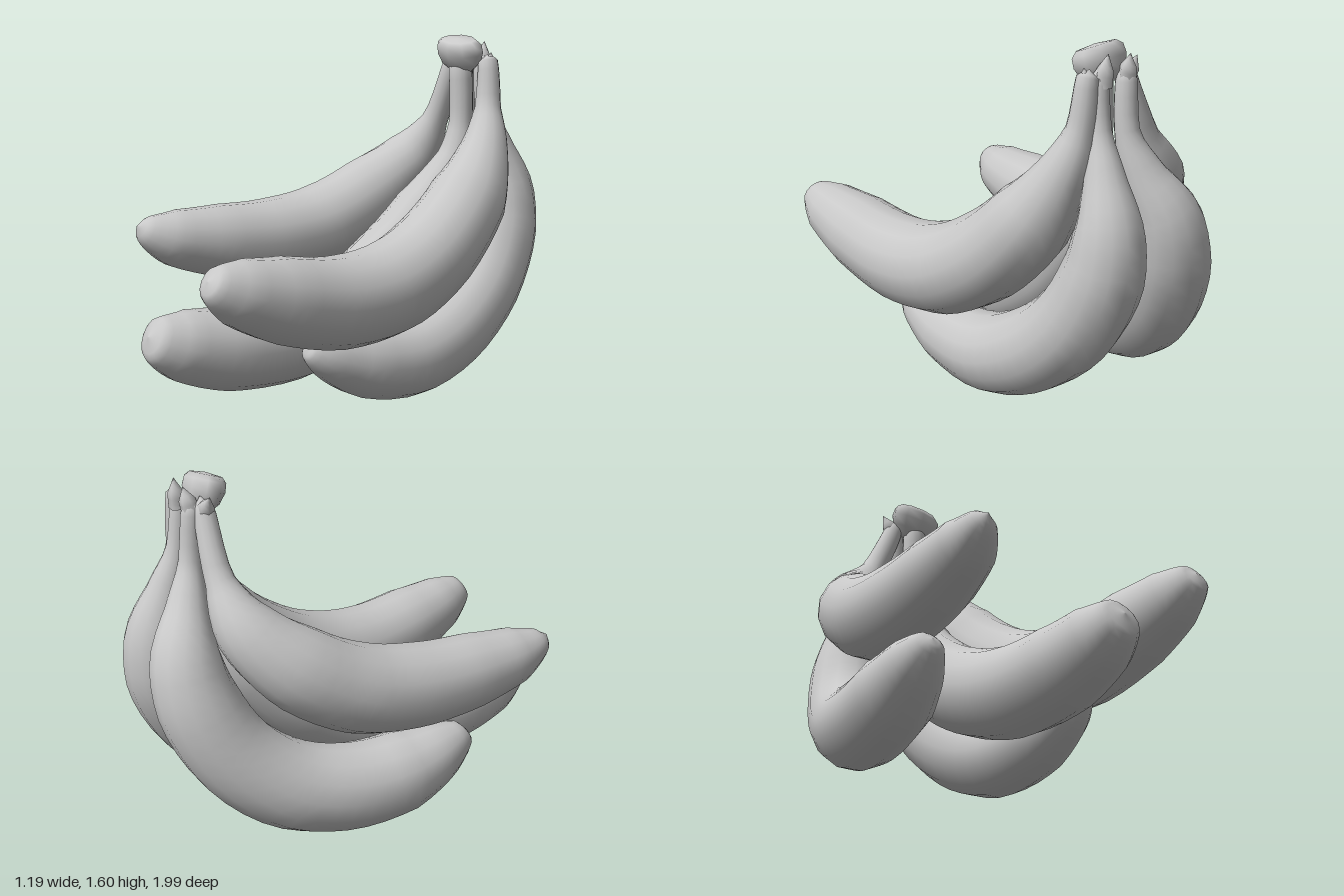
import * as THREE from 'three';

const skin = new THREE.MeshStandardMaterial({ color: 0xc8c8c8 });
skin.name = 'skin grey';

// Sweeps a round section along [x, y, z, radius] stations, stem first.
function sweep(name, stations, rows = 44, sides = 14) {
  const path = new THREE.CatmullRomCurve3(stations.map(s => new THREE.Vector3(s[0], s[1], s[2])));
  const radii = stations.map(s => s[3]);
  const position = [], index = [];
  for (let i = 0; i <= rows; i++) {
    const t = i / rows, f = t * (radii.length - 1), k = Math.min(Math.floor(f), radii.length - 2);
    const r = Math.max(0.0005, THREE.MathUtils.lerp(radii[k], radii[k + 1], f - k));
    const p = path.getPoint(t), tangent = path.getTangent(t);
    const n = new THREE.Vector3(1, 0, 0).addScaledVector(tangent, -tangent.x).normalize();
    const b = tangent.clone().cross(n);
    for (let j = 0; j < sides; j++) {
      const a = j / sides * Math.PI * 2;
      const v = p.clone().addScaledVector(n, r * Math.cos(a)).addScaledVector(b, r * Math.sin(a));
      position.push(v.x, v.y, v.z);
      if (i < rows) {
        const q = i * sides + j, s = i * sides + (j + 1) % sides;
        index.push(q, s, q + sides, s, s + sides, q + sides);
      }
    }
  }
  const g = new THREE.BufferGeometry();
  g.setAttribute('position', new THREE.Float32BufferAttribute(position, 3));
  g.setIndex(index);
  g.computeVertexNormals();
  const mesh = new THREE.Mesh(g, skin);
  mesh.name = name;
  return mesh;
}

// Fruit paths: stem top, thin neck, shoulder, curved body, blunt tip
const fruits = {
  upperLeftFruit: [
    [0.19, 1.51, -0.7, 0], [0.2, 1.48, -0.7, 0.045], [0.22, 1.27, -0.685, 0.06], [0.26, 1.09, -0.63, 0.11],
    [0.305, 0.875, -0.495, 0.178], [0.345, 0.665, -0.26, 0.198], [0.375, 0.54, 0, 0.205], [0.395, 0.505, 0.3, 0.198],
    [0.42, 0.56, 0.62, 0.178], [0.44, 0.62, 0.83, 0.135], [0.45, 0.67, 0.95, 0.07], [0.45, 0.68, 0.968, 0]],
  upperRightFruit: [
    [-0.01, 1.52, -0.69, 0], [-0.02, 1.47, -0.68, 0.045], [-0.135, 1.2, -0.675, 0.06], [-0.25, 1.01, -0.62, 0.135],
    [-0.345, 0.84, -0.445, 0.182], [-0.39, 0.7, -0.18, 0.195], [-0.41, 0.655, 0.1, 0.188], [-0.425, 0.665, 0.38, 0.17],
    [-0.445, 0.7, 0.62, 0.128], [-0.46, 0.745, 0.745, 0.062], [-0.46, 0.765, 0.782, 0]],
  middleFruit: [
    [0.08, 1.52, -0.64, 0], [0.08, 1.45, -0.64, 0.055], [0.08, 1.2, -0.645, 0.055], [0.07, 1.03, -0.62, 0.085],
    [0.02, 0.77, -0.49, 0.162], [0, 0.53, -0.26, 0.188], [0.01, 0.375, 0, 0.195], [0.02, 0.29, 0.3, 0.198],
    [0.02, 0.285, 0.62, 0.185], [0.02, 0.33, 0.85, 0.15], [0.02, 0.375, 0.97, 0.09], [0.02, 0.385, 0.995, 0]],
  lowerLeftFruit: [
    [0.15, 1.52, -0.71, 0], [0.15, 1.46, -0.71, 0.04], [0.155, 1.25, -0.73, 0.048], [0.17, 1.07, -0.78, 0.09],
    [0.185, 0.88, -0.825, 0.143], [0.195, 0.68, -0.797, 0.174], [0.22, 0.45, -0.665, 0.184], [0.25, 0.27, -0.44, 0.187],
    [0.275, 0.177, -0.18, 0.178], [0.29, 0.195, 0.1, 0.153], [0.3, 0.26, 0.3, 0.1], [0.3, 0.3, 0.39, 0.045], [0.3, 0.305, 0.4, 0]],
  lowerRightFruit: [
    [0.01, 1.52, -0.72, 0], [0.01, 1.46, -0.72, 0.045], [0.01, 1.23, -0.735, 0.052], [-0.04, 1.06, -0.78, 0.095],
    [-0.12, 0.88, -0.835, 0.15], [-0.175, 0.68, -0.807, 0.178], [-0.24, 0.45, -0.68, 0.187], [-0.315, 0.29, -0.47, 0.195],
    [-0.375, 0.235, -0.22, 0.193], [-0.415, 0.26, 0.04, 0.182], [-0.435, 0.325, 0.23, 0.132], [-0.44, 0.38, 0.35, 0.06], [-0.44, 0.39, 0.365, 0]],
};

export function createModel() {
  const group = new THREE.Group();
  group.name = 'fruitBunch';
  for (const [name, stations] of Object.entries(fruits)) group.add(sweep(name, stations));

  // Cut crown joining the stems, tilted forward and down to one side
  const profile = [[0.001, -0.09], [0.06, -0.09], [0.11, -0.05], [0.132, 0], [0.128, 0.04], [0.1, 0.062], [0.001, 0.07]];
  const crown = new THREE.Mesh(new THREE.LatheGeometry(profile.map(p => new THREE.Vector2(...p)), 9), skin);
  crown.name = 'crown';
  crown.scale.z = 0.6;
  crown.rotation.set(0.3, 0, -0.12);
  crown.position.set(0.077, 1.52, -0.635);
  group.add(crown);

  // Torn husk points around the crown: base, then tip
  const husks = [
    [[-0.02, 1.44, -0.68], [-0.085, 1.53, -0.68]],
    [[0.01, 1.45, -0.72], [0.02, 1.56, -0.75]],
    [[0.14, 1.44, -0.72], [0.13, 1.57, -0.74]],
    [[0.2, 1.42, -0.7], [0.22, 1.52, -0.7]],
  ];
  husks.forEach(([base, tip], i) => {
    const mid = base.map((v, k) => (v + tip[k]) / 2);
    group.add(sweep('husk' + (i + 1), [[...base, 0.04], [...mid, 0.035], [...tip, 0]], 6, 6));
  });
  return group;
}
